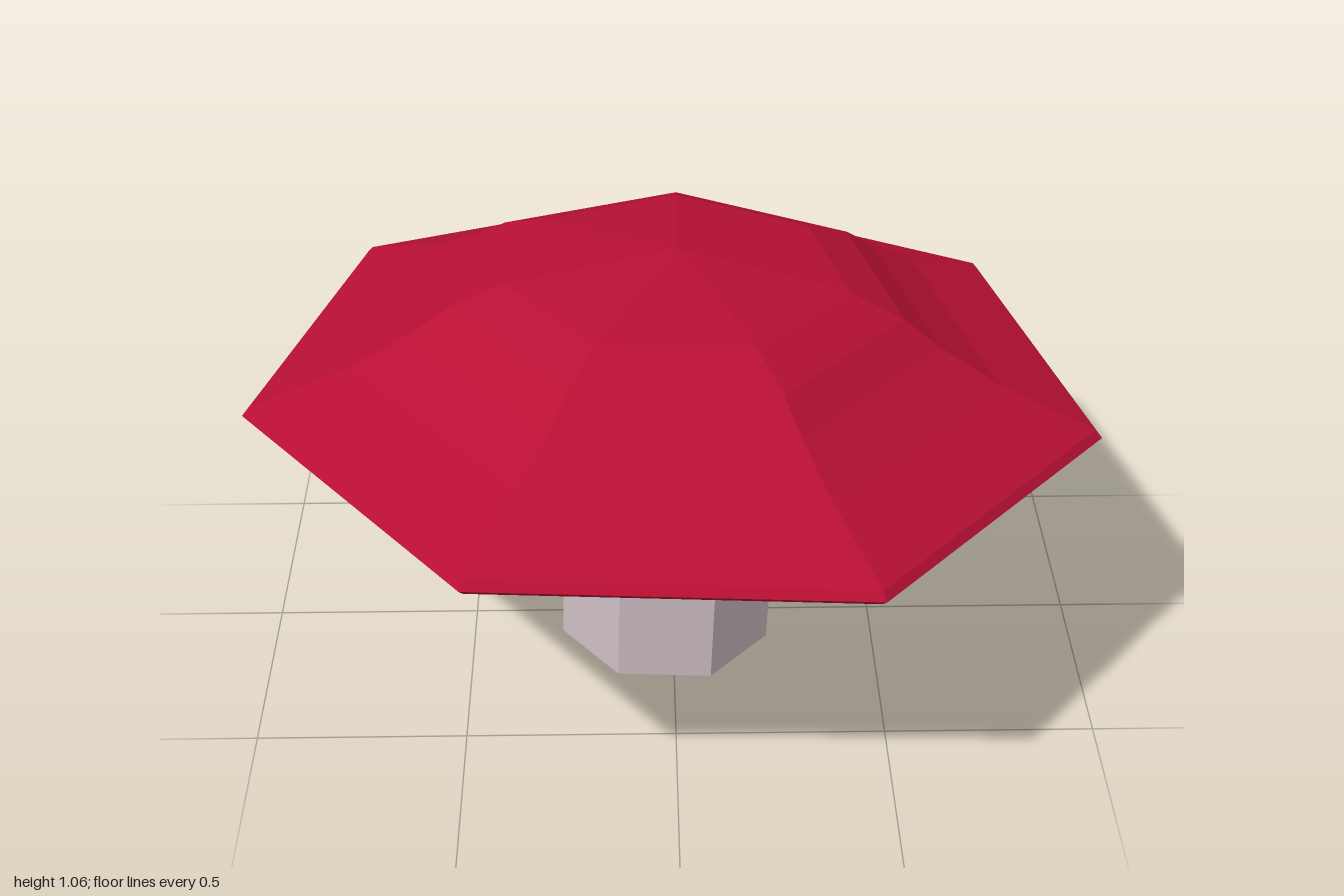
import * as THREE from 'three';

const SIDES = 7;

// Faceted solid of revolution with one corner pointing to the back
function facetedLathe(name, profile, color) {
  const points = profile.map(([r, y]) => new THREE.Vector2(r, y));
  const geometry = new THREE.LatheGeometry(points, SIDES, Math.PI - 0.018);
  const material = new THREE.MeshStandardMaterial({ color, flatShading: true, side: THREE.DoubleSide });
  const mesh = new THREE.Mesh(geometry, material);
  mesh.name = name;
  return mesh;
}

export function createModel() {
  const mushroom = new THREE.Group();
  mushroom.name = 'mushroom';

  // Closed foot, straight stalk, then a flare widening to the gills
  const stem = facetedLathe('stem', [
    [0, 0], [0.262, 0], [0.268, 0.395], [0.34, 0.57],
  ], 0xccbec2);
  const gills = facetedLathe('gills', [[0.34, 0.57], [0.66, 0.7]], 0xccbec2);

  // Cap: underside, thin bevelled rim, concave slope, shallow crown
  const cap = facetedLathe('cap', [
    [0.66, 0.7], [0.74, 0.612], [0.925, 0.643], [1.005, 0.688],
    [1.022, 0.703], [1.005, 0.722], [0.77, 0.808], [0.63, 0.883],
    [0.54, 0.943], [0.41, 0.995], [0, 1.05],
  ], 0xb81034);

  // The whole mushroom leans slightly to its left and back
  const leaning = new THREE.Group();
  leaning.name = 'leaningBody';
  leaning.add(stem, gills, cap);
  leaning.rotation.set(-0.03, 0, -0.03);
  leaning.position.set(-0.02, 0.012, 0.06);
  mushroom.add(leaning);
  return mushroom;
}
